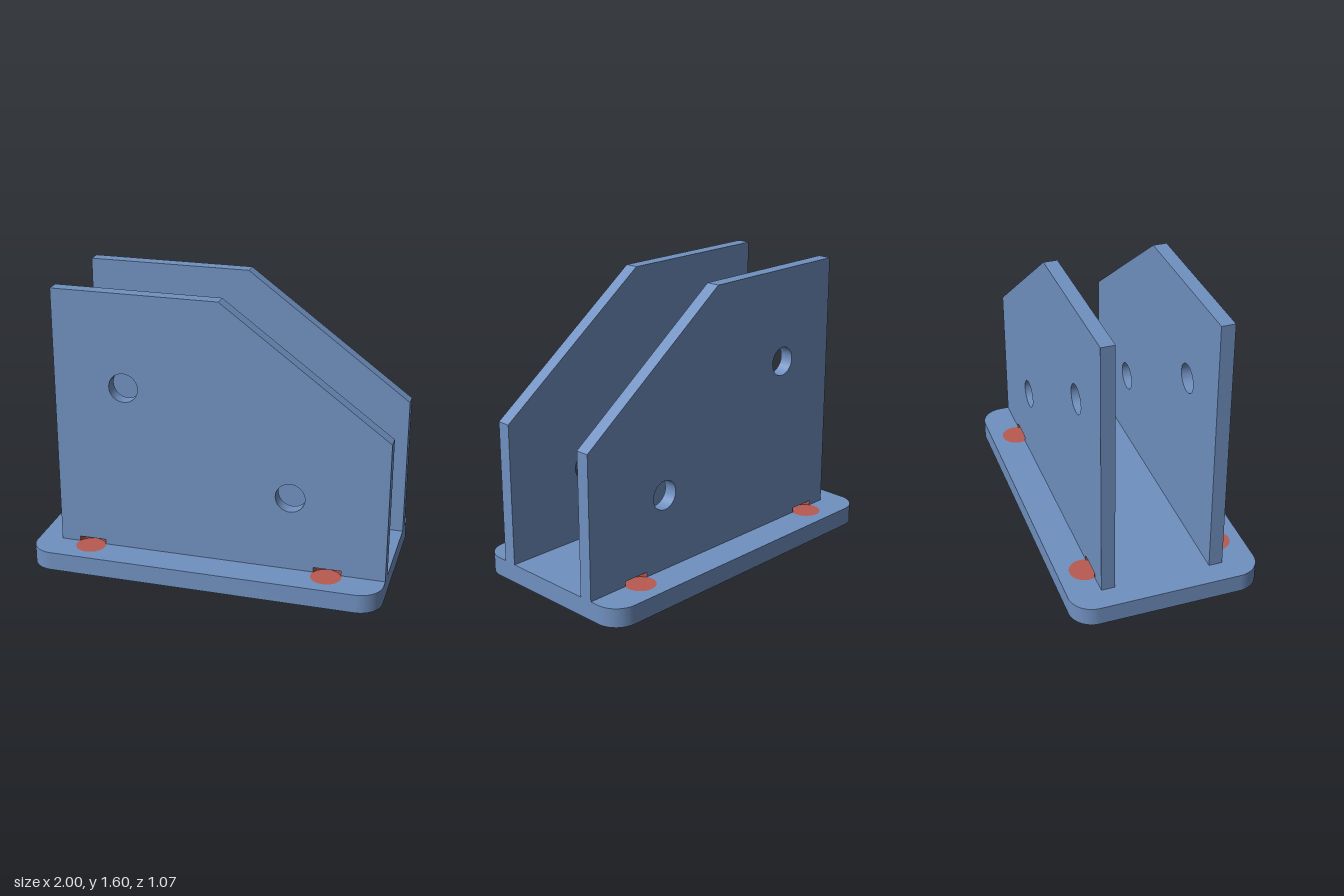
import * as THREE from 'three';
import { toCreasedNormals } from 'three/addons/utils/BufferGeometryUtils.js';

const steel = new THREE.MeshStandardMaterial({ color: 0x7090c0 });
steel.name = 'blue steel';
const red = new THREE.MeshStandardMaterial({ color: 0xb85a50, side: THREE.DoubleSide });
red.name = 'red bolt';

const BASE_TOP = 0.107, NOTCH_TOP = 0.135;
const BACK = -0.867, INNER = 0.27, OUTER = 0.347;
const BOLT_X = 0.68, BOLT_Z = 0.38, BOLT_R = 0.085;
const HALF_ARC = Math.acos((BOLT_Z - OUTER) / BOLT_R);

function circle(x, y, r) {
  const path = new THREE.Path();
  path.absarc(x, y, r, 0, Math.PI * 2, true);
  return path;
}

function extrude(shape, depth) {
  const g = new THREE.ExtrudeGeometry(shape, { depth, bevelEnabled: false, curveSegments: 24 });
  return toCreasedNormals(g, 0.5);
}

function add(parent, name, geometry, material, x = 0, y = 0, z = 0) {
  const mesh = new THREE.Mesh(geometry, material);
  mesh.name = name;
  mesh.position.set(x, y, z);
  parent.add(mesh);
  return mesh;
}

// Rounded base with four bolt holes
function baseGeometry() {
  const w = 1, d = 0.533, r = 0.133;
  const s = new THREE.Shape();
  s.absarc(w - r, d - r, r, 0, Math.PI / 2);
  s.absarc(-w + r, d - r, r, Math.PI / 2, Math.PI);
  s.absarc(-w + r, -d + r, r, Math.PI, Math.PI * 1.5);
  s.absarc(w - r, -d + r, r, Math.PI * 1.5, Math.PI * 2);
  for (const x of [-BOLT_X, BOLT_X])
    for (const z of [-BOLT_Z, BOLT_Z]) s.holes.push(circle(x, z, BOLT_R));
  return extrude(s, BASE_TOP).rotateX(-Math.PI / 2);
}

// Upright cheek with sloped corner and two pin holes
function cheekGeometry() {
  const s = new THREE.Shape([[BACK, NOTCH_TOP], [1, NOTCH_TOP], [1, 0.91], [0.065, 1.6], [BACK, 1.6]]
    .map(([x, y]) => new THREE.Vector2(x, y)));
  s.holes.push(circle(-0.47, 1.07, 0.082), circle(0.465, 0.535, 0.082));
  return extrude(s, OUTER - INNER);
}

// Foot of a cheek, scooped out above the two bolts
function footGeometry(side) {
  const pts = [[BACK, INNER], [1, INNER], [1, OUTER]];
  for (const cx of [BOLT_X, -BOLT_X])
    for (let i = 0; i <= 20; i++) {
      const t = HALF_ARC * (1 - i / 10);
      pts.push([cx + BOLT_R * Math.sin(t), BOLT_Z - BOLT_R * Math.cos(t)]);
    }
  pts.push([BACK, OUTER]);
  const s = new THREE.Shape(pts.map(([x, z]) => new THREE.Vector2(x, -side * z)));
  return extrude(s, NOTCH_TOP - BASE_TOP).rotateX(-Math.PI / 2);
}

export function createModel() {
  const model = new THREE.Group();
  model.name = 'mountingBracket';
  add(model, 'base', baseGeometry(), steel);

  const h = NOTCH_TOP - BASE_TOP;
  for (const side of [1, -1]) {
    const label = side > 0 ? 'front' : 'back';
    add(model, label + 'Cheek', cheekGeometry(), steel, 0, 0, side > 0 ? INNER : -OUTER);
    add(model, label + 'CheekFoot', footGeometry(side), steel, 0, BASE_TOP, 0);

    // Flush bolts and the red walls of the scoops above them
    const middle = side > 0 ? Math.PI : 0;
    for (const x of [-BOLT_X, BOLT_X]) {
      add(model, label + 'Bolt', new THREE.CylinderGeometry(BOLT_R, BOLT_R, BASE_TOP, 48),
        red, x, BASE_TOP / 2, side * BOLT_Z);
      add(model, label + 'BoltScoop', new THREE.CylinderGeometry(BOLT_R - 0.002, BOLT_R - 0.002, h, 24, 1, true,
        middle - HALF_ARC, HALF_ARC * 2), red, x, BASE_TOP + h / 2, side * BOLT_Z);
    }
  }
  return model;
}
